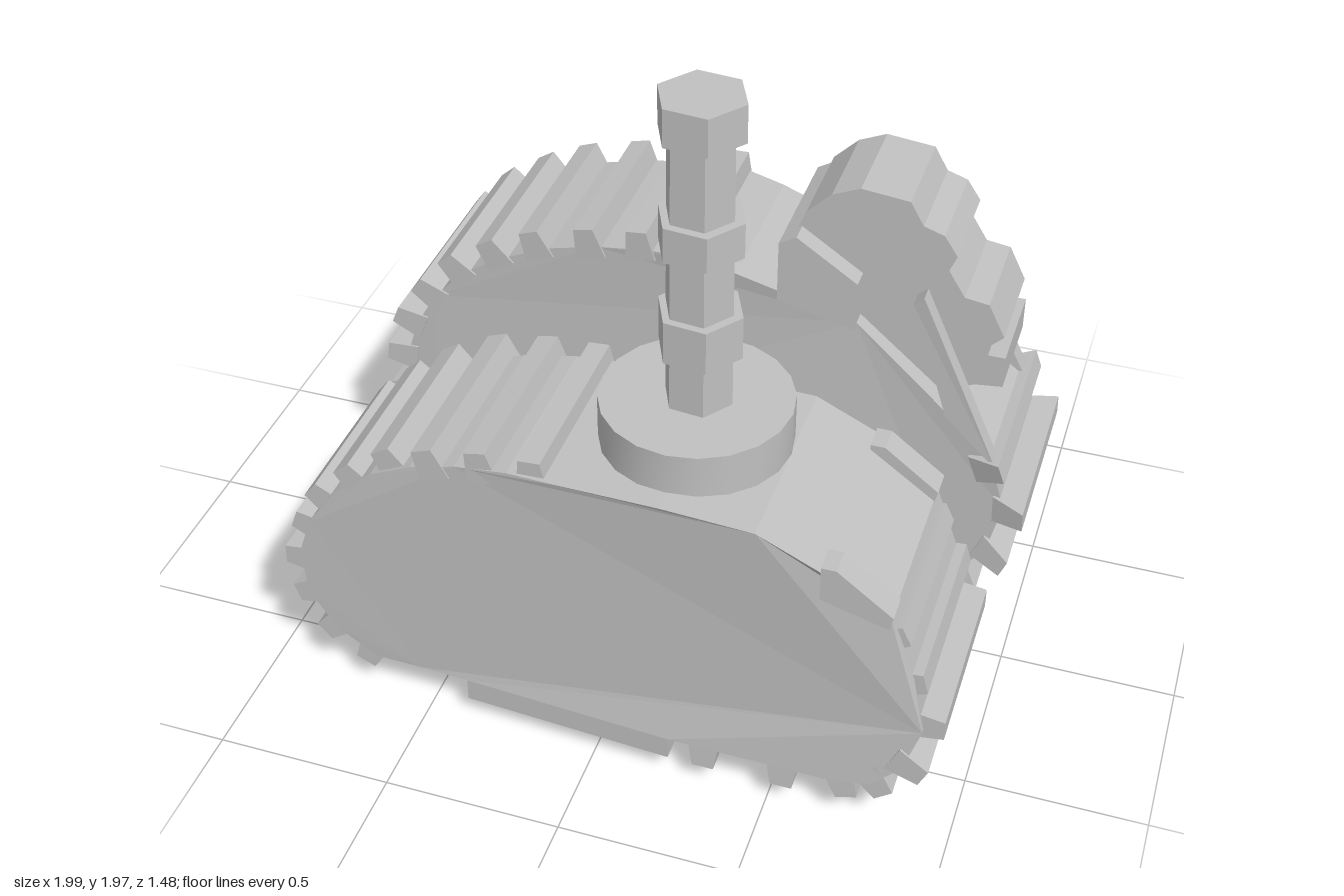
import * as THREE from 'three';
import { ConvexGeometry } from 'three/addons/geometries/ConvexGeometry.js';
import { toCreasedNormals } from 'three/addons/utils/BufferGeometryUtils.js';

const grey = new THREE.MeshStandardMaterial({ color: 0xc0c0c0 });
grey.name = 'plain grey';

function add(parent, name, geometry, x = 0, y = 0, z = 0) {
  const mesh = new THREE.Mesh(geometry, grey);
  mesh.name = name;
  mesh.position.set(x, y, z);
  parent.add(mesh);
  return mesh;
}

// Side profile in x/y, extruded from z0 to z1
function slab(points, z0, z1) {
  const shape = new THREE.Shape(points.map(([x, y]) => new THREE.Vector2(x, y)));
  const g = new THREE.ExtrudeGeometry(shape, { depth: z1 - z0, bevelEnabled: false });
  return g.translate(0, 0, z0);
}

// Moves each vertex's z by a rule (x, y, z) => z
function bendZ(g, rule) {
  const p = g.attributes.position;
  for (let i = 0; i < p.count; i++) p.setZ(i, rule(p.getX(i), p.getY(i), p.getZ(i)));
  g.computeVertexNormals();
  return g;
}

// Trapezoid cleats, given by tip centre and outward angle in degrees
function cleats(parent, list, z0, z1, flare) {
  const h = 0.065, mid = (z0 + z1) / 2;
  for (const [x, y, deg] of list) {
    const g = slab([[-h - 0.03, -0.045], [0, -0.03], [0, 0.03], [-h - 0.03, 0.045]], z0 - mid, z1 - mid);
    bendZ(g, (px, py, pz) => pz + Math.sign(pz) * (px > -0.01 ? flare : 0));
    add(parent, 'cleat', g, x, y, mid).rotation.z = THREE.MathUtils.degToRad(deg);
  }
}

// Six-sided prism with hard edges, turned a little about its axis
function hexPrism(rTop, rBottom, height) {
  return toCreasedNormals(new THREE.CylinderGeometry(rTop, rBottom, height, 6).rotateY(0.42), 0.5);
}

export function createModel() {
  const model = new THREE.Group();
  model.name = 'trackedMachine';
  const { smoothstep } = THREE.MathUtils;

  // Front track unit with a flush belly pad, wider towards +x
  const front = new THREE.Group();
  front.name = 'frontTrack';
  model.add(front);
  const frontBody = slab([
    [-0.52, 0.14], [-0.38, 0.14], [-0.38, 0.07], [0.22, 0.07], [0.22, 0.14],
    [0.66, 0.14], [0.78, 0.16], [0.86, 0.24], [0.905, 0.38], [0.87, 0.55], [0.8, 0.74],
    [0.62, 0.87], [0.45, 0.95], [0.2, 0.96], [-0.07, 0.95], [-0.22, 0.945], [-0.37, 0.92], [-0.5, 0.88],
    [-0.62, 0.82], [-0.74, 0.72], [-0.82, 0.6], [-0.86, 0.48], [-0.85, 0.34], [-0.78, 0.22], [-0.66, 0.14],
  ], -1, 1);
  bendZ(frontBody, (x, y, z) => {
    const half = 0.24 + 0.048 * smoothstep(x, -0.7, 0.4)
      - 0.035 * smoothstep(x, 0.62, 0.9) * smoothstep(y, 0.1, 0.7);
    return 0.447 + z * half;
  });
  add(front, 'frontBody', frontBody);
  cleats(front, [
    [-0.16, 0.99, 94], [-0.31, 0.98, 102], [-0.46, 0.95, 110],
  ], 0.17, 0.7, 0);
  cleats(front, [
    [-0.59, 0.9, 122], [-0.71, 0.81, 132], [-0.81, 0.71, 143], [-0.87, 0.59, 160], [-0.91, 0.45, 178],
    [-0.89, 0.31, 200], [-0.82, 0.18, 222], [-0.7, 0.1, 245],
  ], 0.2, 0.68, 0);
  cleats(front, [[0.84, 0.68, 25]], 0.195, 0.695, 0);
  cleats(front, [[0.9, 0.54, 15], [0.96, 0.39, 0]], 0.185, 0.705, 0);
  cleats(front, [
    [0.92, 0.23, -25], [0.82, 0.13, -52], [0.72, 0.09, -72], [0.54, 0.07, -90], [0.32, 0.07, -90],
  ], 0.165, 0.73, 0.005);

  // Shoulder guards at the top +x corners
  const guard = [[0.62, 0.78], [0.8, 0.73], [0.81, 0.77], [0.66, 0.885], [0.62, 0.885]];
  add(front, 'shoulderGuard', slab(guard, 0.66, 0.735));
  add(front, 'shoulderGuard', slab(guard, 0.16, 0.235));

  // Round plinth and six-sided mast with collars
  const mast = new THREE.Group();
  mast.name = 'mast';
  mast.position.set(0.2, 0, 0.41);
  model.add(mast);
  const plinth = new THREE.CylinderGeometry(0.257, 0.257, 0.15, 20);
  add(mast, 'plinth', toCreasedNormals(plinth, 0.5), -0.005, 1.005, 0);
  add(mast, 'mastPole', hexPrism(0.09, 0.094, 0.84), 0, 1.48, 0);
  for (const [y0, y1] of [[1.235, 1.36], [1.54, 1.64], [1.865, 1.97]]) {
    add(mast, 'mastCollar', hexPrism(0.116, 0.116, y1 - y0), 0.003, (y0 + y1) / 2, 0);
  }

  // Back track unit, narrowing up its long +x slope
  const back = new THREE.Group();
  back.name = 'backTrack';
  model.add(back);
  const backBody = slab([
    [-0.6, 0.07], [0.68, 0.07], [0.8, 0.1], [0.89, 0.2], [0.93, 0.38], [0.88, 0.56], [0.46, 0.92], [0.12, 1.05],
    [0, 1.06], [-0.15, 1.055], [-0.3, 1.035], [-0.46, 0.995], [-0.6, 0.93], [-0.72, 0.855], [-0.82, 0.75],
    [-0.89, 0.63], [-0.93, 0.5], [-0.92, 0.35], [-0.86, 0.21], [-0.75, 0.11],
  ], -1, 1);
  bendZ(backBody, (x, y, z) => -0.45 + z * (x > 0.1 && y > 0.8 ? 0.215 : 0.245));
  add(back, 'backBody', backBody);
  cleats(back, [
    [-0.03, 1.115, 91], [-0.18, 1.115, 96], [-0.34, 1.09, 102], [-0.51, 1.045, 110], [-0.65, 0.98, 122],
    [-0.78, 0.895, 132], [-0.88, 0.78, 145], [-0.955, 0.655, 158], [-0.99, 0.51, 172], [-0.985, 0.36, 188],
    [-0.91, 0.2, 208], [-0.8, 0.08, 235],
  ], -0.7, -0.2, 0.005);
  cleats(back, [
    [0.92, 0.54, 20], [0.995, 0.38, 2], [0.955, 0.19, -22], [0.86, 0.07, -48], [0.75, 0.03, -70],
    [0.54, 0.002, -90], [0.32, 0.002, -90],
  ], -0.7, -0.2, 0.04);

  // Toothed wheel at the top, with its sloping mount and side gussets
  add(back, 'wheel', slab([
    [0.25, 0.9], [0.7, 0.7], [0.8, 0.75], [0.88, 0.76], [0.88, 0.86], [0.83, 0.86], [0.83, 0.89], [0.87, 0.93],
    [0.82, 1.03], [0.75, 1.04], [0.7, 1.12], [0.72, 1.17], [0.68, 1.23], [0.62, 1.25], [0.58, 1.32], [0.44, 1.335],
    [0.36, 1.3], [0.29, 1.23], [0.25, 1.12],
  ], -0.58, -0.28));
  add(back, 'wheelMount', slab([[0.23, 0.96], [0.46, 0.9], [0.46, 1.06], [0.28, 1.18], [0.23, 1.15]], -0.635, -0.22));
  const flareOut = (x, s) => s * 0.05 * smoothstep(x, 0.5, 0.9);
  const backGusset = slab([[0.4, 0.93], [0.9, 0.54], [0.65, 1.06], [0.44, 1.06]], -0.635, -0.58);
  add(back, 'backGusset', bendZ(backGusset, (x, y, z) => z + flareOut(x, -1)));
  const frontGusset = slab([[0.62, 1.03], [0.74, 0.68], [0.9, 0.54], [0.65, 1.06]], -0.28, -0.23);
  add(back, 'frontGusset', bendZ(frontGusset, (x, y, z) => z + flareOut(x, 1)));

  // Low wedge strut joining the two units at the -x end
  add(model, 'strut', new ConvexGeometry([
    [-0.83, 0.38, 0.22], [-0.62, 0.03, 0.25], [-0.53, 0.03, 0.25], [-0.92, 0.33, -0.22],
    [-0.82, 0.06, -0.22], [-0.5, 0.07, -0.22], [-0.5, 0.17, -0.22],
  ].map((p) => new THREE.Vector3(...p))));

  return model;
}
